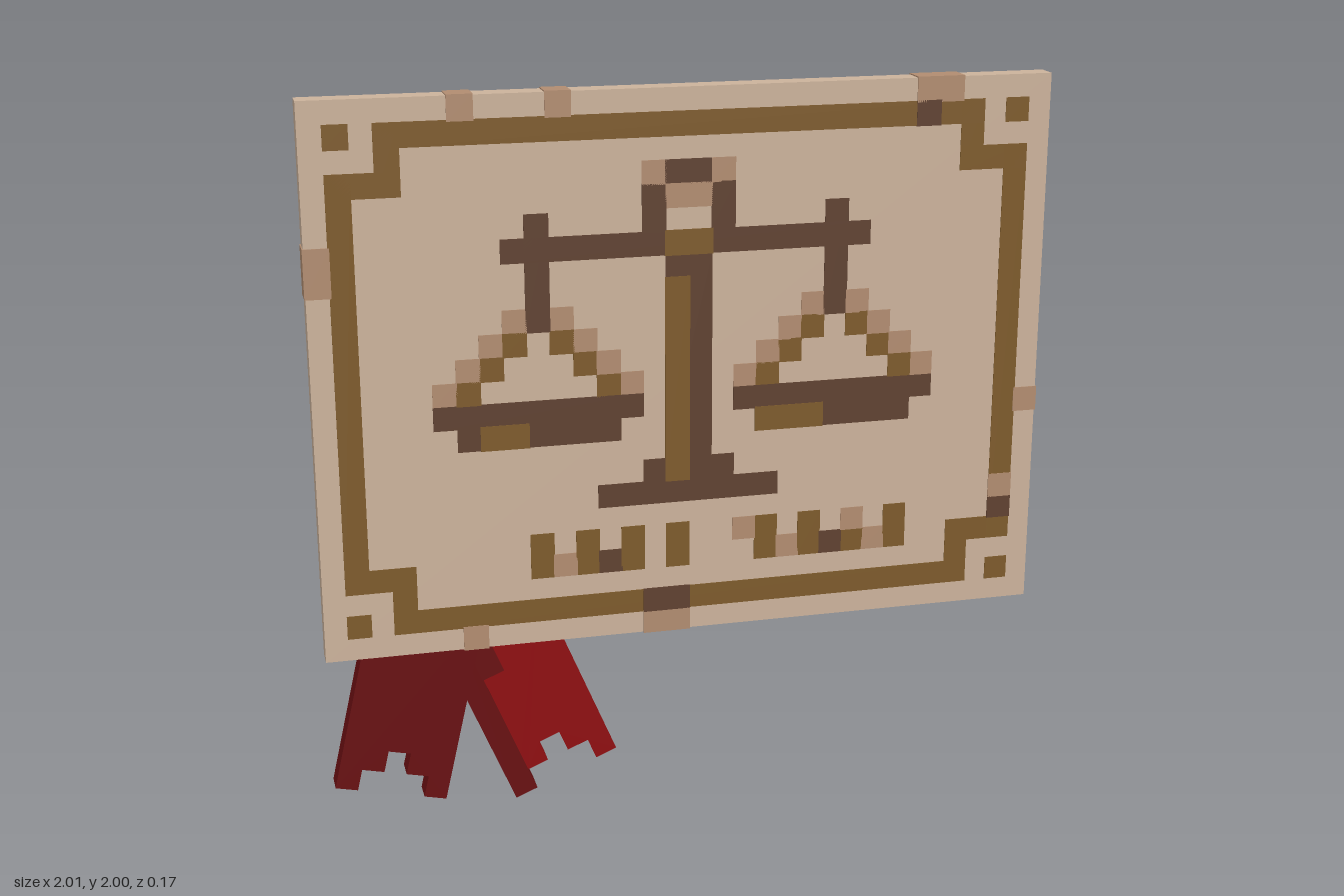
import * as THREE from 'three';
import { mergeGeometries } from 'three/addons/utils/BufferGeometryUtils.js';

const PX = 0.0625; // everything is laid out on this square cell
const mat = (name, color) => new THREE.MeshStandardMaterial({ name, color });

export function createModel() {
  const M = {
    parchment: mat('parchment', 0xcbb29b),
    stain: mat('stain', 0xb18c70),
    bronze: mat('bronze', 0x7d5a2b),
    umber: mat('umber', 0x5f4130),
    red: mat('red', 0x8e0d10),
    darkRed: mat('dark red', 0x680f11),
    orange: mat('orange', 0xd5831f),
    pale: mat('pale gold', 0xd0ae66),
    amber: mat('amber', 0x97600f),
  };
  const model = new THREE.Group();

  // Cell rectangles [x, y, w, h] (y up) inlaid right through a slab; higher layers cover lower ones
  const inlay = (parent, name, material, rects, layer) => {
    const grow = 0.003 * layer;
    const boxes = rects.map(([x, y, w = 1, h = 1]) =>
      new THREE.BoxGeometry(w * PX + grow, h * PX + grow, PX + grow)
        .translate((x + w / 2) * PX, (y + h / 2) * PX, 0));
    const mesh = new THREE.Mesh(mergeGeometries(boxes), material);
    mesh.name = name;
    parent.add(mesh);
  };

  // Slab one cell thick cut from an outline given in cells
  const slab = (parent, name, material, points) => {
    const shape = new THREE.Shape(points.map(([x, y]) => new THREE.Vector2(x * PX, y * PX)));
    const geo = new THREE.ExtrudeGeometry(shape, { depth: PX, bevelEnabled: false }).translate(0, 0, -PX / 2);
    const mesh = new THREE.Mesh(geo, material);
    mesh.name = name;
    parent.add(mesh);
  };

  const group = (name, x, y, z, degrees = 0) => {
    const g = new THREE.Group();
    g.name = name;
    g.position.set(x, y, z);
    g.rotation.z = THREE.MathUtils.degToRad(degrees);
    model.add(g);
    return g;
  };

  // Board, 32 x 24 cells; drawing rectangles are listed by column and row from the top left
  const board = group('board', 0, 1.25, 0.0488);
  slab(board, 'boardPanel', M.parchment, [[-16, -12], [16, -12], [16, 12], [-16, 12]]);
  const draw = (name, material, rects, layer) => inlay(board, name, material,
    rects.map(([c, r, w = 1, h = 1]) => [c - 16, 12 - r - h, w, h]), layer);
  const mirrored = (rects) => rects.flatMap(([c, r, w = 1, h = 1]) => [[c, r, w, h], [32 - c - w, r, w, h]]);

  // Frame line with stepped corners and corner dots
  draw('frameLine', M.bronze, [
    [3, 1, 26, 1], [3, 22, 26, 1],
    ...mirrored([[1, 3, 1, 18], [1, 3, 3, 1], [1, 20, 3, 1], [3, 1, 1, 3], [3, 20, 1, 3], [1, 1], [1, 22]]),
  ], 1);

  // Weighing scales: stand and beam, then both pans with their chains
  draw('scaleStand', M.umber, [
    [15, 3, 2, 1], [14, 4, 1, 2], [17, 4, 1, 2], [8, 6, 16, 1],
    [15, 7, 2, 9], [14, 16, 4, 1], [12, 17, 8, 1],
  ], 1);
  draw('standHighlight', M.bronze, [[15, 6, 2, 1], [15, 8, 1, 9]], 2);
  draw('standShade', M.stain, [[14, 3], [17, 3], [15, 4, 2, 1]], 1);
  for (const c of [9, 22]) {
    draw('scalePan', M.umber, [[c, 5, 1, 5], [c - 4, 13, 9, 1], [c - 3, 14, 7, 1]], 1);
    const steps = [1, 2, 3];
    draw('panChain', M.bronze, steps.flatMap((i) => [[c - i, 9 + i], [c + i, 9 + i]]), 1);
    draw('chainShade', M.stain, [0, ...steps].flatMap((i) => [[c - 1 - i, 9 + i], [c + 1 + i, 9 + i]]), 1);
  }
  draw('panHighlight', M.bronze, [[7, 14, 2, 1], [19, 14, 3, 1]], 2);

  // Row of small marks under the scales
  draw('marksBronze', M.bronze, [
    [9, 19, 1, 2], [11, 19, 1, 2], [13, 19], [13, 20], [15, 19, 1, 2],
    [19, 19, 1, 2], [21, 19, 1, 2], [23, 20], [25, 19, 1, 2],
  ], 1);
  draw('marksUmber', M.umber, [[12, 20], [22, 20]], 1);
  draw('marksStain', M.stain, [[10, 20], [18, 19], [20, 20], [23, 19], [24, 20]], 1);

  // Worn spots
  draw('wornSpots', M.stain, [
    [6, 0], [10, 0], [26, 0, 2, 1], [0, 6, 1, 2], [31, 14], [14, 23, 2, 1], [6, 23], [30, 18],
  ], 2);
  draw('darkSpots', M.umber, [[26, 1], [30, 19], [14, 22, 2, 1]], 2);

  // Ribbons: five cells wide, nine long, with a stepped notch at the lower end
  const ribbonOutline = [
    [0, 0], [1, 0], [1, 1], [2, 1], [2, 2], [3, 2], [3, 1], [4, 1], [4, 0], [5, 0], [5, 9], [0, 9],
  ];
  const darkRibbon = group('rightRibbon', -0.99, 0.1, -0.004, -13);
  slab(darkRibbon, 'ribbonCloth', M.darkRed, ribbonOutline);
  const redRibbon = group('leftRibbon', -0.485, 0.005, -0.013, 22.5);
  slab(redRibbon, 'ribbonCloth', M.red, ribbonOutline);
  inlay(redRibbon, 'ribbonFold', M.darkRed, [[0, 0, 1, 9], [1, 6, 1, 3]], 1);

  // Tilted seal, 9 x 9 cells without its corner cells, on the back of the board
  const seal = group('seal', -0.66, 0.775, -0.0488, 13.5);
  slab(seal, 'sealPlate', M.orange, [
    [-3.5, -4.5], [3.5, -4.5], [3.5, -3.5], [4.5, -3.5], [4.5, 3.5], [3.5, 3.5],
    [3.5, 4.5], [-3.5, 4.5], [-3.5, 3.5], [-4.5, 3.5], [-4.5, -3.5], [-3.5, -3.5],
  ]);
  const cells = (name, material, list, layer) => inlay(seal, name, material,
    list.map(([x, y, w = 1, h = 1]) => [x - 0.5, y - 0.5, w, h]), layer);
  cells('sealField', M.amber, [[-3, -3, 7, 7]], 1);
  cells('sealBrackets', M.umber, [
    [-3, 0, 1, 3], [-2, 3, 2, 1], [3, 1, 1, 2], [1, 3, 2, 1],
    [-3, -2, 1, 1], [-2, -3, 2, 1], [3, -2, 1, 2], [2, -3],
    [-1, 0, 3, 1], [0, -1, 1, 3],
  ], 2);
  cells('sealDots', M.orange, [
    [-2, 1], [2, 1], [-2, -1], [2, -1], [-1, 2], [1, 2], [-1, -2], [1, -2],
  ], 2);
  cells('sealGlints', M.pale, [[-3, 4], [-1, 4], [4, -3, 1, 2], [1, -4, 3, 1]], 1);

  return model;
}
